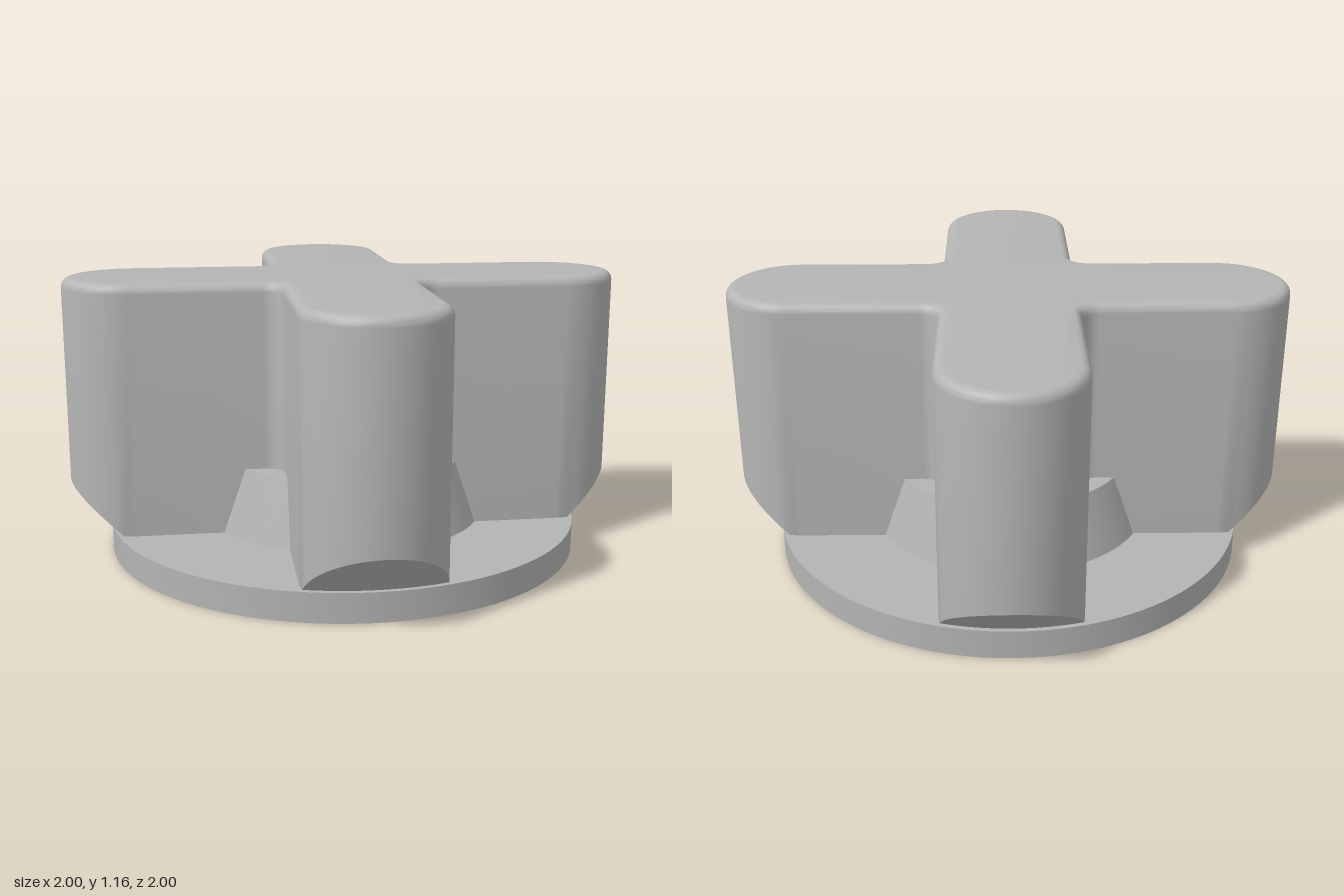
import * as THREE from 'three';
import { toCreasedNormals } from 'three/addons/utils/BufferGeometryUtils.js';

const ARM_R = 0.28, ARM_LEN = 0.887, VALLEY_R = 0.08;
const FLOOR = 0.12, TOP = 1.16, FILLET = 0.04, CUT_R = 0.98;
const TURN = THREE.MathUtils.degToRad(53.7);

// Four-armed outline, moved inwards by inset; counter-clockwise from above
function outline(inset) {
  const pts = [];
  const arc = (cx, cy, r, from, to, steps, turn) => {
    for (let i = 0; i <= steps; i++) {
      const a = from + (to - from) * i / steps;
      pts.push(new THREE.Vector2(cx + r * Math.cos(a), cy + r * Math.sin(a))
        .rotateAround(new THREE.Vector2(), turn));
    }
  };
  const c = ARM_R + VALLEY_R;
  for (let k = 0; k < 4; k++) {
    const turn = TURN + k * Math.PI / 2;
    arc(ARM_LEN, 0, ARM_R - inset, -Math.PI / 2, Math.PI / 2, 32, turn);
    arc(c, c, VALLEY_R + inset, -Math.PI / 2, -Math.PI, 10, turn);
  }
  return pts;
}

// Cross grip: conical undercut at the tips, straight walls, rounded top edge
function gripGeometry() {
  const base = outline(0);
  const rows = [
    base.map(p => {
      const q = p.clone().clampLength(0, CUT_R);
      return new THREE.Vector3(q.x, FLOOR, -q.y);
    }),
    base.map(p => new THREE.Vector3(p.x, FLOOR + Math.max(0, p.length() - CUT_R), -p.y)),
  ];
  for (let i = 0; i <= 6; i++) {
    const a = i / 6 * Math.PI / 2;
    const y = TOP - FILLET + FILLET * Math.sin(a);
    rows.push(outline(FILLET * (1 - Math.cos(a))).map(p => new THREE.Vector3(p.x, y, -p.y)));
  }
  const pos = [];
  const tri = (a, b, c) => {
    const area = b.clone().sub(a).cross(c.clone().sub(a)).length();
    if (area > 1e-9) for (const v of [a, b, c]) pos.push(v.x, v.y, v.z);
  };
  const n = base.length;
  for (let j = 0; j < rows.length - 1; j++) {
    for (let i = 0; i < n; i++) {
      const k = (i + 1) % n;
      tri(rows[j][i], rows[j][k], rows[j + 1][k]);
      tri(rows[j][i], rows[j + 1][k], rows[j + 1][i]);
    }
  }
  // flat top
  const last = rows[rows.length - 1];
  for (const [a, b, c] of THREE.ShapeUtils.triangulateShape(outline(FILLET), [])) {
    tri(last[a], last[b], last[c]);
  }
  const geo = new THREE.BufferGeometry();
  geo.setAttribute('position', new THREE.Float32BufferAttribute(pos, 3));
  return toCreasedNormals(geo, 0.5);
}

// Round flange, tapered boss and stepped bore in one turned profile
function baseGeometry() {
  const profile = [
    [0, 0.8], [0.255, 0.8], [0.255, 0.3], [0.5, 0.3], [0.5, 0],
    [1, 0], [1, FLOOR], [0.6, FLOOR], [0.52, 0.39], [0.28, 0.39],
  ].map(([x, y]) => new THREE.Vector2(x, y));
  return toCreasedNormals(new THREE.LatheGeometry(profile, 128), 0.4);
}

export function createModel() {
  const grey = new THREE.MeshStandardMaterial({ color: 0xb4b4b4 });
  grey.name = 'grey';
  const group = new THREE.Group();
  group.name = 'crossKnob';
  const add = (name, geo) => {
    const mesh = new THREE.Mesh(geo, grey);
    mesh.name = name;
    group.add(mesh);
  };
  add('flangeAndBore', baseGeometry());
  add('crossGrip', gripGeometry());
  return group;
}
